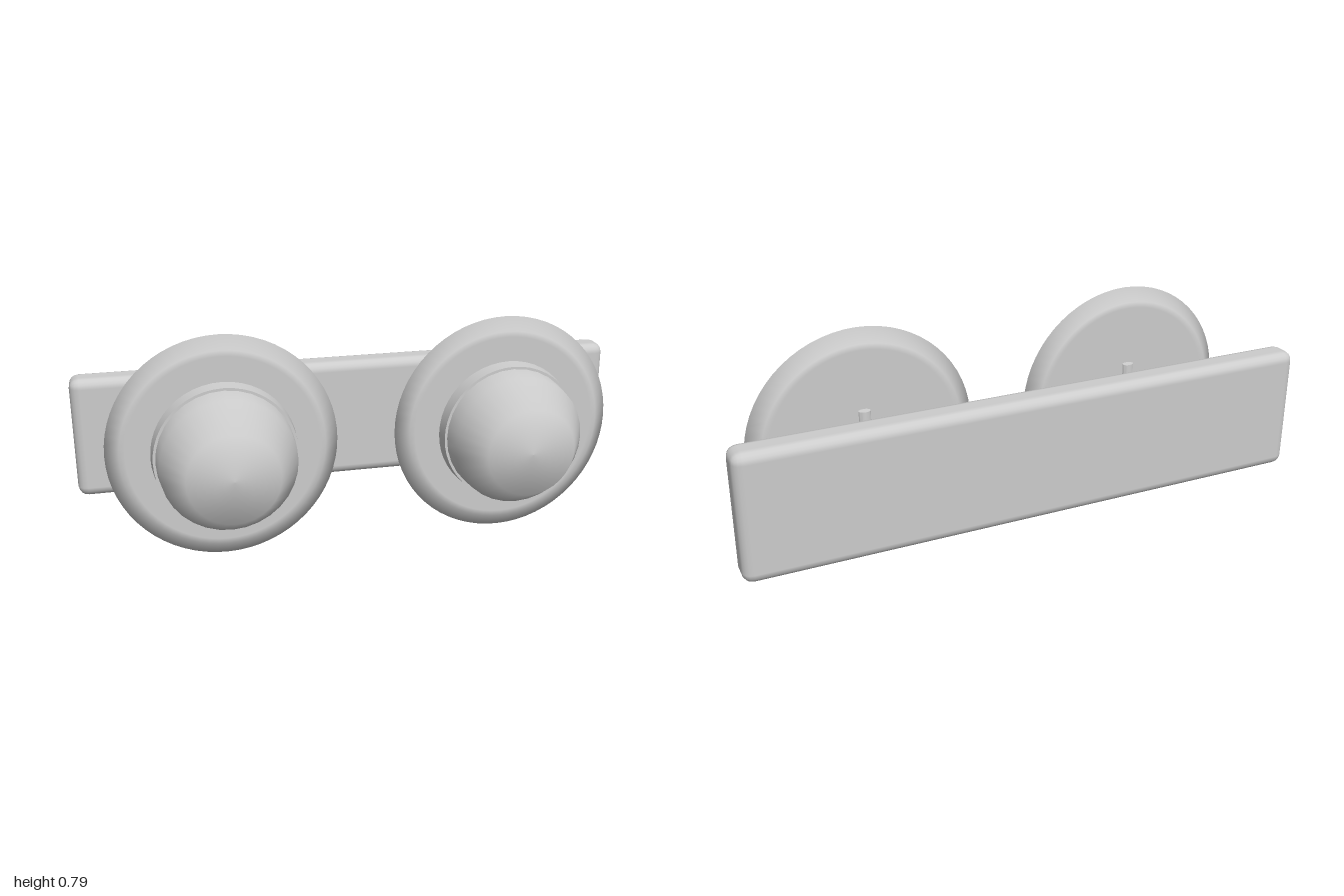
import * as THREE from 'three';
import { toCreasedNormals } from 'three/addons/utils/BufferGeometryUtils.js';
import { RoundedBoxGeometry } from 'three/addons/geometries/RoundedBoxGeometry.js';

const grey = new THREE.MeshStandardMaterial({ color: 0xcccccc });
grey.name = 'light grey';

function part(name, geometry) {
  const mesh = new THREE.Mesh(geometry, grey);
  mesh.name = name;
  return mesh;
}

// Turned shape around the z axis, from [radius, z] pairs running back to front
function turned(points, segments = 48) {
  return new THREE.LatheGeometry(points.map(([r, z]) => new THREE.Vector2(r, z)), segments).rotateX(Math.PI / 2);
}

// Bent round rod: each ring spans an inner and an outer [y, z] point
function bentRod(rings, halfWidth, sides = 12) {
  const pos = [];
  const point = (i, s) => {
    const [[y0, z0], [y1, z1]] = rings[i];
    const t = (s % sides) / sides * Math.PI * 2;
    const k = (1 + Math.cos(t)) / 2;
    return [Math.sin(t) * halfWidth, y0 + (y1 - y0) * k, z0 + (z1 - z0) * k];
  };
  const centre = ([a, b]) => [0, (a[0] + b[0]) / 2, (a[1] + b[1]) / 2];
  const last = rings.length - 1;
  for (let s = 0; s < sides; s++) {
    for (let i = 0; i < last; i++) {
      const a = point(i, s), b = point(i, s + 1), c = point(i + 1, s), d = point(i + 1, s + 1);
      pos.push(...a, ...b, ...d, ...a, ...d, ...c);
    }
    pos.push(...centre(rings[0]), ...point(0, s + 1), ...point(0, s));
    pos.push(...centre(rings[last]), ...point(last, s), ...point(last, s + 1));
  }
  const g = new THREE.BufferGeometry();
  g.setAttribute('position', new THREE.Float32BufferAttribute(pos, 3));
  return toCreasedNormals(g, 0.8);
}

function createLamp(name, x) {
  const lamp = new THREE.Group();
  lamp.name = name;
  lamp.position.set(x, 0.397, 0);

  // Round plate with a pointed rim
  lamp.add(part('plate', turned([
    [0, -0.015], [0.33, -0.015], [0.35, -0.015], [0.397, 0.021], [0.35, 0.052], [0.33, 0.052], [0, 0.052],
  ], 64)));

  // Faceted dome and the collar around its base
  lamp.add(part('dome', turned([[0.241, 0.04], [0.228, 0.2], [0.153, 0.321], [0, 0.336]], 32)));
  lamp.add(part('collar', toCreasedNormals(turned([
    [0.225, 0.07], [0.248, 0.07], [0.243, 0.121], [0.225, 0.121],
  ]), 0.6)));

  // Arm reaching back to the board, turned up behind the plate
  lamp.add(part('arm', bentRod([
    [[0.025, -0.222], [-0.021, -0.222]],
    [[0.036, -0.041], [-0.003, -0.017]],
    [[0.12, -0.038], [0.123, -0.0145]],
  ], 0.021)));
  return lamp;
}

export function createModel() {
  const model = new THREE.Group();
  model.name = 'twinLamp';

  // Long backing board with rounded edges
  const board = part('board', new RoundedBoxGeometry(2, 0.44, 0.11, 2, 0.035));
  board.position.set(0, 0.37, -0.28);
  model.add(board);

  model.add(createLamp('leftLamp', 0.5), createLamp('rightLamp', -0.5));
  return model;
}
